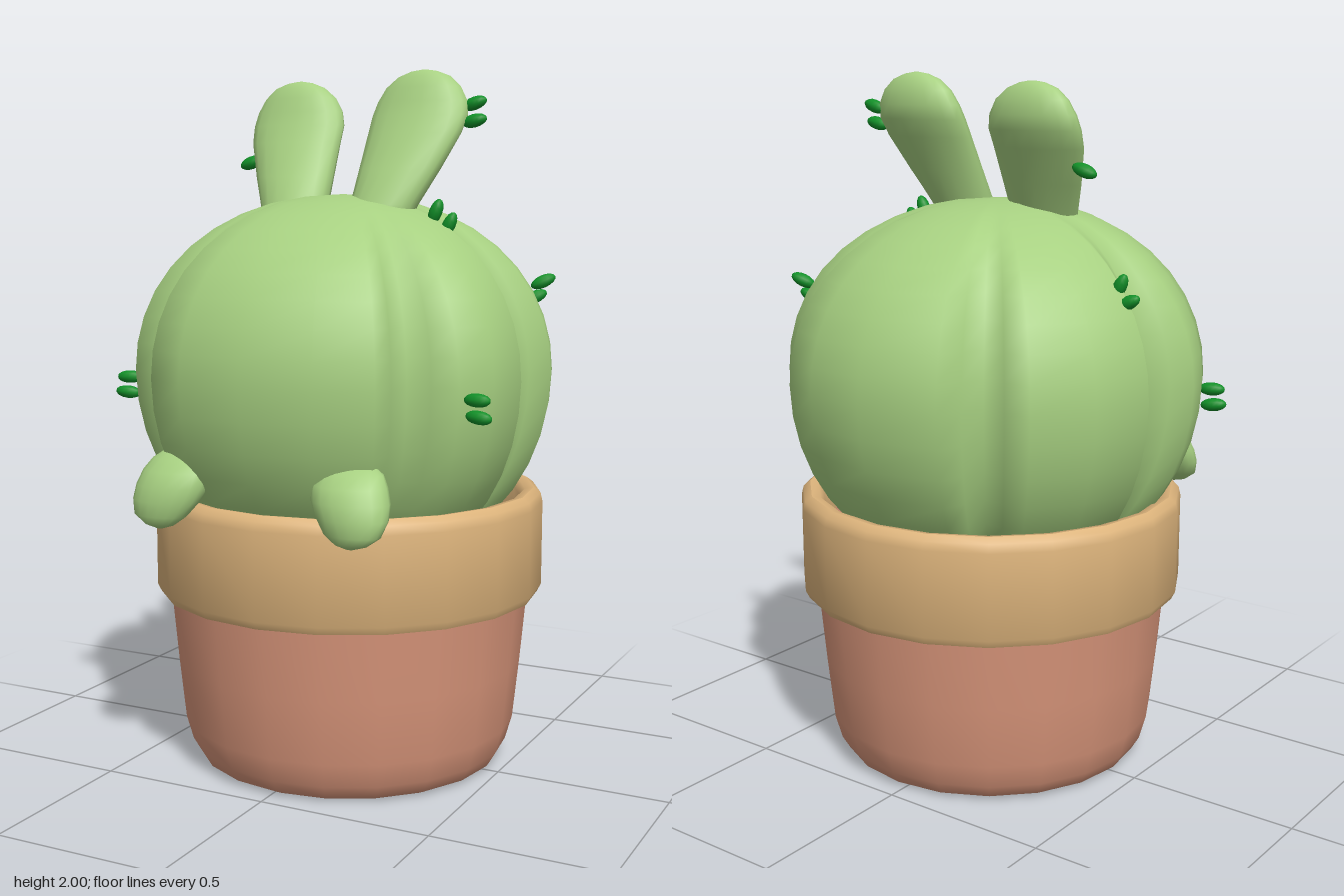
import * as THREE from 'three';
import { toCreasedNormals } from 'three/addons/utils/BufferGeometryUtils.js';

const mat = (name, color) => {
  const m = new THREE.MeshStandardMaterial({ color });
  m.name = name;
  return m;
};

// Closed skin over rings of [x, y, z] points, listed from bottom to top
function loft(rings) {
  const n = rings[0].length, pos = rings.flat(2), idx = [];
  for (let j = 0; j < rings.length - 1; j++) {
    for (let i = 0; i < n; i++) {
      const a = j * n + i, b = j * n + (i + 1) % n;
      idx.push(a, a + n, b, b, a + n, b + n);
    }
  }
  const last = (rings.length - 1) * n;
  for (let i = 1; i < n - 1; i++) {
    idx.push(0, i, i + 1, last, last + i + 1, last + i);
  }
  const g = new THREE.BufferGeometry();
  g.setAttribute('position', new THREE.Float32BufferAttribute(pos, 3));
  g.setIndex(idx);
  g.computeVertexNormals();
  return g;
}

// Oval rings from rows of [y, centre x, centre z, half width, half depth]
function ovalLoft(rows, side, n = 18) {
  return loft(rows.map(([y, cx, cz, rx, rz]) => Array.from({ length: n }, (_, i) => {
    const a = i / n * Math.PI * 2;
    return [side * cx + Math.cos(a) * rx, y, cz + Math.sin(a) * rz];
  })));
}

const lathe = (pts, n) => toCreasedNormals(
  new THREE.LatheGeometry(pts.map(p => new THREE.Vector2(...p)), n), 0.75);

// Lobed outline of the cactus, [x, z] at its widest level
const OUTLINE = [
  [0.5, 0], [0.55, 0.065], [0.595, 0.12], [0.56, 0.23], [0.505, 0.335], [0.43, 0.345], [0.365, 0.355],
  [0.355, 0.43], [0.345, 0.505], [0.2, 0.575], [0, 0.605], [-0.2, 0.575], [-0.33, 0.51],
  [-0.34, 0.43], [-0.345, 0.355], [-0.42, 0.345], [-0.5, 0.335], [-0.555, 0.23], [-0.59, 0.12],
  [-0.545, 0.065], [-0.5, 0], [-0.545, -0.065], [-0.59, -0.12], [-0.53, -0.28], [-0.425, -0.43],
  [-0.34, -0.425], [-0.27, -0.42], [-0.25, -0.49], [-0.225, -0.565], [0, -0.61], [0.2, -0.575],
  [0.34, -0.51], [0.355, -0.43], [0.365, -0.36], [0.43, -0.35], [0.51, -0.335], [0.56, -0.23],
  [0.595, -0.12], [0.55, -0.065],
];

function cactusBody() {
  const rings = [], steps = 20;
  for (let j = 0; j <= steps; j++) {
    const t = (j / steps - 0.5) * Math.PI * 0.995;
    const up = Math.sin(t), s = Math.pow(Math.cos(t), 0.88);
    const y = 1.15 + up * (up > 0 ? 0.5 : 0.58);
    const fade = up > 0 ? Math.pow(up, 5) : 0; // ribs melt away at the crown
    rings.push(OUTLINE.map(([x, z]) => {
      const k = s * (1 - fade + fade * 0.57 / Math.hypot(x, z));
      return [x * k, y, z * k];
    }));
  }
  return loft(rings);
}

export function createModel() {
  const green = mat('cactus green', 0xa7d081);
  const dark = mat('spine green', 0x119028);
  const tan = mat('rim tan', 0xddb47c);
  const clay = mat('terracotta', 0xd8957a);
  const model = new THREE.Group();
  model.name = 'pottedCactus';
  const add = (name, geo, material, parent = model) => {
    const m = new THREE.Mesh(geo, material);
    m.name = name;
    parent.add(m);
    return m;
  };

  // Pot
  const pot = new THREE.Group();
  pot.name = 'pot';
  pot.position.x = 0.02;
  model.add(pot);
  add('potBody', lathe([[0, 0], [0.42, 0], [0.445, 0.012], [0.468, 0.05], [0.488, 0.12],
    [0.507, 0.3], [0.527, 0.52]], 20), clay, pot);
  add('potRim', lathe([[0.515, 0.5], [0.555, 0.503], [0.566, 0.525], [0.566, 0.77], [0.56, 0.795],
    [0.54, 0.81], [0.515, 0.805], [0.5, 0.785], [0.49, 0.7]], 20), tan, pot);
  add('potInside', lathe([[0.493, 0.71], [0.48, 0.66], [0, 0.66]], 20), clay, pot);

  // Cactus ball
  add('cactusBody', cactusBody(), green);

  // Ears lean back and widen toward rounded tips
  const ear = [
    [1.56, 0.145, 0.07, 0.088, 0.07], [1.62, 0.153, 0.05, 0.1, 0.075], [1.72, 0.178, 0.0, 0.123, 0.07],
    [1.82, 0.2, -0.05, 0.143, 0.067], [1.87, 0.205, -0.076, 0.147, 0.067], [1.91, 0.207, -0.088, 0.138, 0.062],
    [1.95, 0.208, -0.093, 0.115, 0.052], [1.98, 0.21, -0.094, 0.08, 0.037], [1.995, 0.21, -0.094, 0.04, 0.02],
    [2.0, 0.21, -0.094, 0.008, 0.004],
  ];
  add('leftEar', ovalLoft(ear, 1), green);
  add('rightEar', ovalLoft(ear, -1), green).position.set(0.02, -0.02, 0);

  // Paws hang over the rim
  const paw = [
    [0.745, 0.29, 0.54, 0.01, 0.005], [0.755, 0.292, 0.537, 0.045, 0.025], [0.78, 0.293, 0.53, 0.08, 0.045],
    [0.82, 0.284, 0.513, 0.101, 0.064], [0.86, 0.272, 0.497, 0.11, 0.074], [0.9, 0.262, 0.483, 0.106, 0.069],
    [0.93, 0.255, 0.467, 0.095, 0.052], [0.945, 0.25, 0.46, 0.078, 0.038], [0.95, 0.25, 0.457, 0.05, 0.02],
  ];
  add('leftPaw', ovalLoft(paw, 1), green);
  add('rightPaw', ovalLoft(paw, -1), green);

  // Spines: position, then the direction each one points
  const spines = [
    [-0.338, 1.745, -0.06, -1, -0.35, 0.15],
    [0.362, 1.902, -0.1, 1, 0.3, 0], [0.37, 1.853, -0.08, 1, 0.2, 0],
    [0.315, 1.6, 0.06, 0.4, 1, 0], [0.355, 1.565, 0.06, 0.5, 1, 0],
    [0.52, 1.4, -0.255, 1, 0.5, -0.5], [0.5, 1.355, -0.24, 1, 0.5, -0.5],
    [0.548, 1.12, 0.318, 1, 0, 0.1], [0.553, 1.075, 0.318, 1, -0.1, 0.1],
    [-0.565, 1.12, 0.27, -1, 0, 0.25], [-0.572, 1.075, 0.27, -1, 0.1, 0.25],
    [-0.48, 1.45, -0.1, -0.5, 1, 0], [-0.51, 1.41, -0.105, -1, 0.5, 0],
  ];
  const spineGeo = new THREE.SphereGeometry(1, 10, 8).scale(0.019, 0.038, 0.019);
  const upAxis = new THREE.Vector3(0, 1, 0);
  for (const [x, y, z, dx, dy, dz] of spines) {
    const s = add('spine', spineGeo, dark);
    s.position.set(x, y, z);
    s.quaternion.setFromUnitVectors(upAxis, new THREE.Vector3(dx, dy, dz).normalize());
  }
  return model;
}
